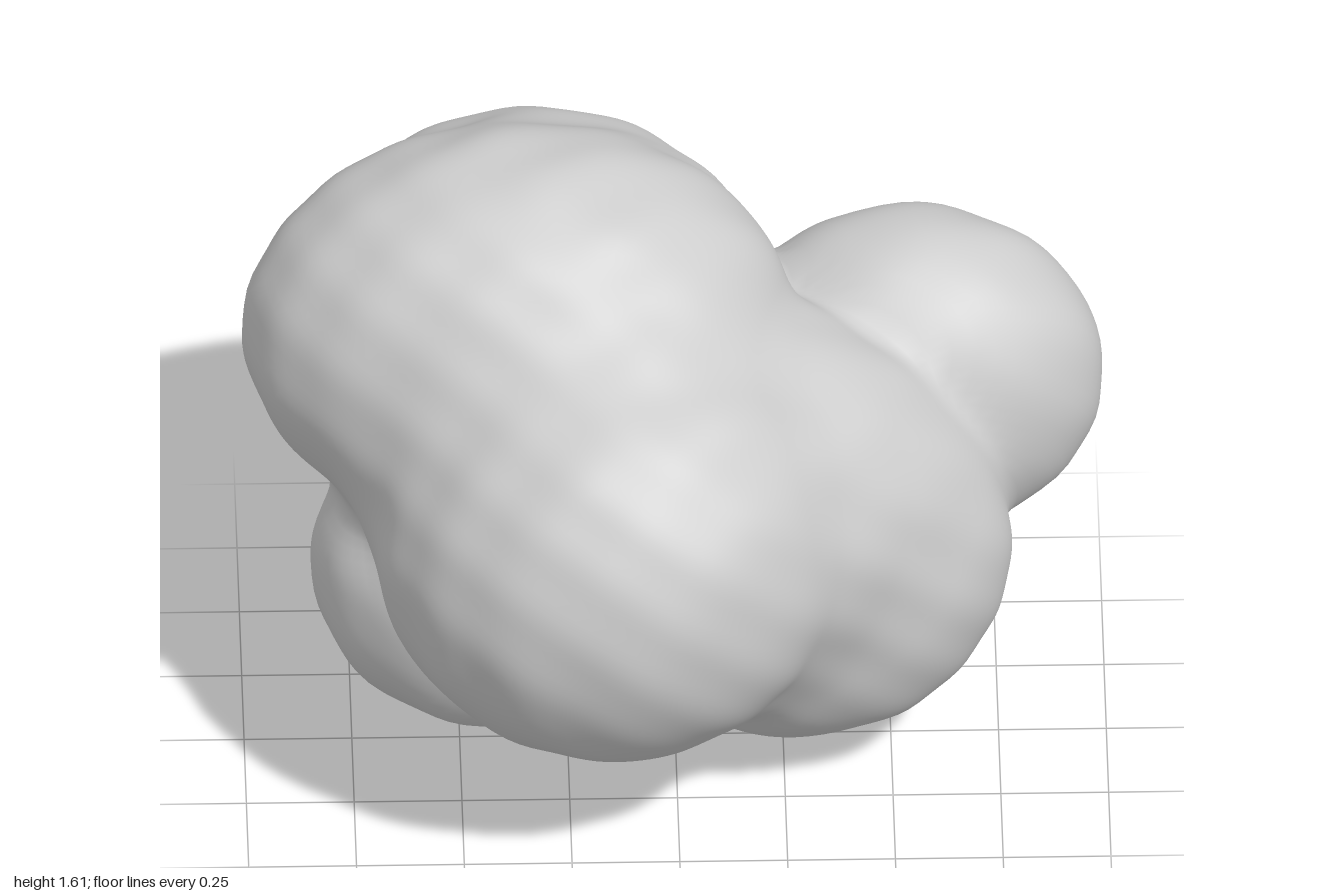
import * as THREE from 'three';
import { mergeVertices } from 'three/addons/utils/BufferGeometryUtils.js';

// lobes of the boulder-like cluster: centre, radii and softness of the joint
const lobes = [
  { c: [-0.36, 1.12, -0.07], r: [0.64, 0.49, 0.46], soft: 0.06 },  // top
  { c: [-0.32, 0.93, -0.27], r: [0.58, 0.55, 0.55], soft: 0.06 },  // back
  { c: [-0.15, 0.79, 0.26], r: [0.56, 0.54, 0.55], soft: 0.14 },   // front
  { c: [0.28, 0.57, 0.0], r: [0.5, 0.5, 0.41], soft: 0.12 },       // lower left
  { c: [0.2, 0.76, 0.06], r: [0.42, 0.42, 0.42], soft: 0.1 },      // shoulder between front and side
  { c: [0.55, 0.8, -0.33], r: [0.45, 0.41, 0.33], soft: 0.05 },    // side
  { c: [-0.42, 0.4, -0.15], r: [0.42, 0.4, 0.36], soft: 0.05 },    // foot
].map(({ c, r, soft }) => ({ c: new THREE.Vector3(...c), r: new THREE.Vector3(...r), soft }));

const q = new THREE.Vector3();
const g = new THREE.Vector3();

// approximate signed distance to one ellipsoid
function lobeDistance(p, { c, r }) {
  q.subVectors(p, c).divide(r);
  const k = q.length();
  return k < 1e-4 ? -Math.min(r.x, r.y, r.z) : (k * (k - 1)) / g.copy(q).divide(r).length();
}

// all lobes joined with softened creases
function field(p) {
  let d = 10;
  for (const lobe of lobes) {
    const e = lobeDistance(p, lobe);
    const h = Math.max(lobe.soft - Math.abs(d - e), 0) / lobe.soft;
    d = Math.min(d, e) - h * h * lobe.soft * 0.25;
  }
  return d;
}

// gentle surface unevenness
const lump = (p) => 0.004 * Math.sin(23 * p.x + 9 * p.y) * Math.sin(21 * p.y - 13 * p.z) + 0.003 * Math.sin(27 * p.z + 15 * p.x);

export function createModel() {
  const core = new THREE.Vector3(-0.02, 0.78, -0.1);
  let geometry = new THREE.IcosahedronGeometry(1, 36);
  geometry.deleteAttribute('uv');
  geometry.deleteAttribute('normal');
  geometry = mergeVertices(geometry, 1e-4);

  // push every vertex out from the core to the outermost skin
  const pos = geometry.attributes.position;
  const dir = new THREE.Vector3();
  const p = new THREE.Vector3();
  for (let i = 0; i < pos.count; i++) {
    dir.fromBufferAttribute(pos, i).normalize();
    const at = (t) => field(p.copy(core).addScaledVector(dir, t));
    let t = 1.4;
    while (t > 0.1 && at(t) > 0) t -= 0.02;
    let lo = t, hi = t + 0.02;
    for (let n = 0; n < 10; n++) {
      const mid = (lo + hi) / 2;
      if (at(mid) > 0) hi = mid; else lo = mid;
    }
    p.copy(core).addScaledVector(dir, lo);
    p.addScaledVector(dir, lump(p));
    pos.setXYZ(i, p.x, Math.max(p.y, 0), p.z);
  }
  geometry.computeVertexNormals();

  const stone = new THREE.MeshStandardMaterial({ color: 0xcccccc });
  stone.name = 'light grey';
  const mesh = new THREE.Mesh(geometry, stone);
  mesh.name = 'lobedBody';
  const group = new THREE.Group();
  group.name = 'lobedCluster';
  group.add(mesh);
  return group;
}
